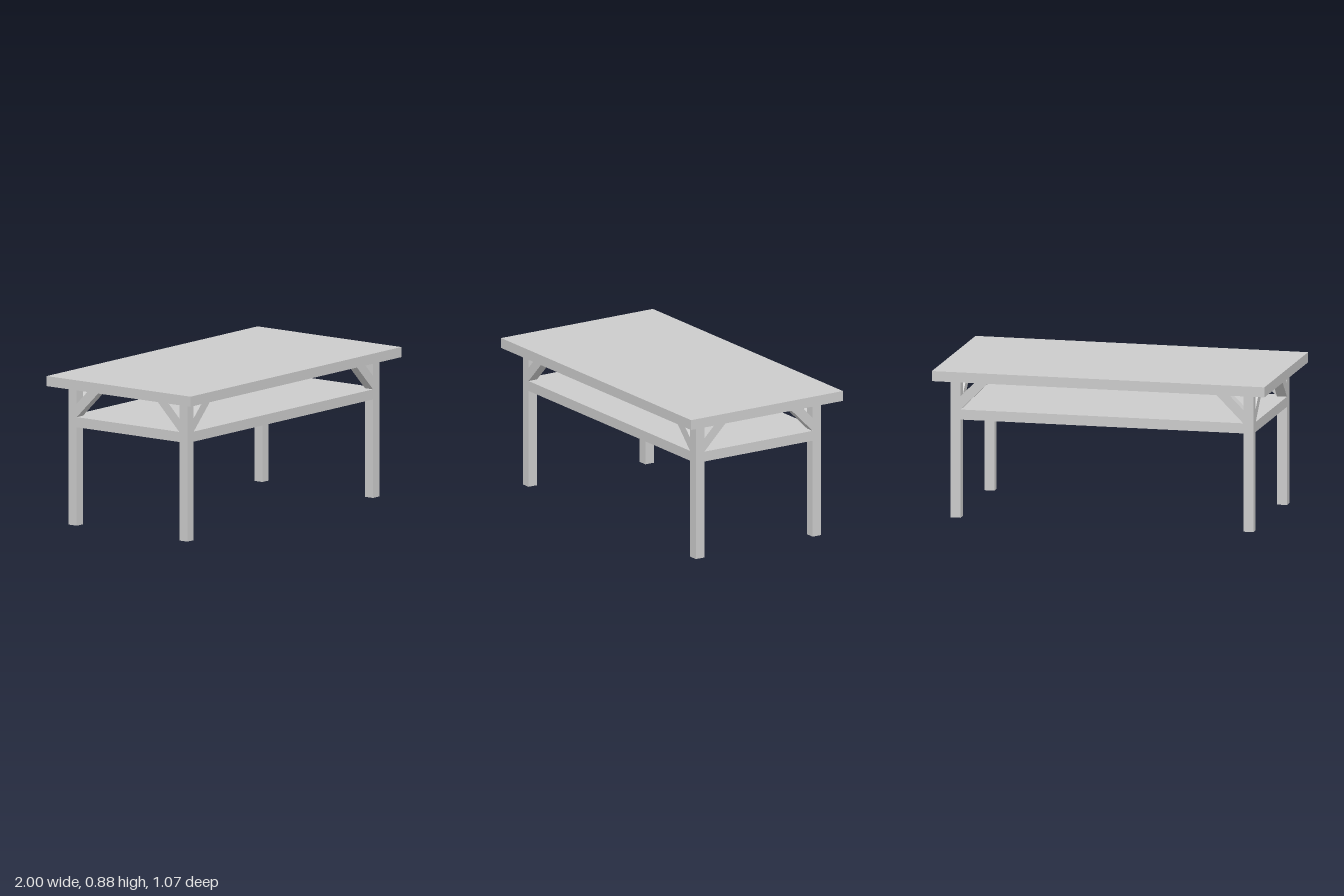
import * as THREE from 'three';

const LEG = 0.06;            // leg thickness
const LX = 0.91, LZ = 0.44;  // outer faces of the legs
const TOP = 0.825;           // underside of the tabletop
const SHELF_Y = 0.585, SHELF_H = 0.06;

export function createModel() {
  const group = new THREE.Group();
  const material = new THREE.MeshStandardMaterial({ color: 0xcccccc, flatShading: true });

  const add = (name, geometry, parent = group) => {
    const mesh = new THREE.Mesh(geometry, material);
    mesh.name = name;
    parent.add(mesh);
    return mesh;
  };

  // Tabletop slab
  add('tabletop', new THREE.BoxGeometry(2, 0.06, 1.065)).position.y = TOP + 0.03;

  // Lower shelf, notched at the corners to fit between the legs
  const ix = LX - LEG, iz = LZ - LEG;
  const outline = new THREE.Shape([
    [-ix, -LZ], [ix, -LZ], [ix, -iz], [LX, -iz], [LX, iz], [ix, iz],
    [ix, LZ], [-ix, LZ], [-ix, iz], [-LX, iz], [-LX, -iz], [-ix, -iz],
  ].map(([x, y]) => new THREE.Vector2(x, y)));
  const shelfGeometry = new THREE.ExtrudeGeometry(outline, { depth: SHELF_H, bevelEnabled: false });
  shelfGeometry.rotateX(-Math.PI / 2);
  add('shelf', shelfGeometry).position.y = SHELF_Y;

  // Diagonal brace: rises at 45 degrees from the leg's inner face (x = 0) to the tabletop
  const rise = TOP - SHELF_Y - SHELF_H;
  const profile = new THREE.Shape([
    [0, 0], [rise, rise], [rise - 0.08, rise], [0, 0.08],
  ].map(([x, y]) => new THREE.Vector2(x, y)));
  const braceGeometry = new THREE.ExtrudeGeometry(profile, { depth: LEG, bevelEnabled: false });
  braceGeometry.translate(0, 0, -LEG / 2);

  // Four corner posts, each with one brace along x and one along z
  const legGeometry = new THREE.BoxGeometry(LEG, TOP, LEG);
  for (const sx of [-1, 1]) {
    for (const sz of [-1, 1]) {
      const corner = new THREE.Group();
      corner.name = `${sz > 0 ? 'front' : 'back'}${sx > 0 ? 'Left' : 'Right'}Leg`;
      corner.position.set(sx * (LX - LEG / 2), 0, sz * (LZ - LEG / 2));
      add('post', legGeometry, corner).position.y = TOP / 2;

      const longBrace = add('longBrace', braceGeometry, corner);
      longBrace.position.set(-sx * LEG / 2, SHELF_Y + SHELF_H, 0);
      longBrace.rotation.y = sx > 0 ? Math.PI : 0;

      const crossBrace = add('crossBrace', braceGeometry, corner);
      crossBrace.position.set(0, SHELF_Y + SHELF_H, -sz * LEG / 2);
      crossBrace.rotation.y = sz * Math.PI / 2;
      group.add(corner);
    }
  }
  return group;
}
